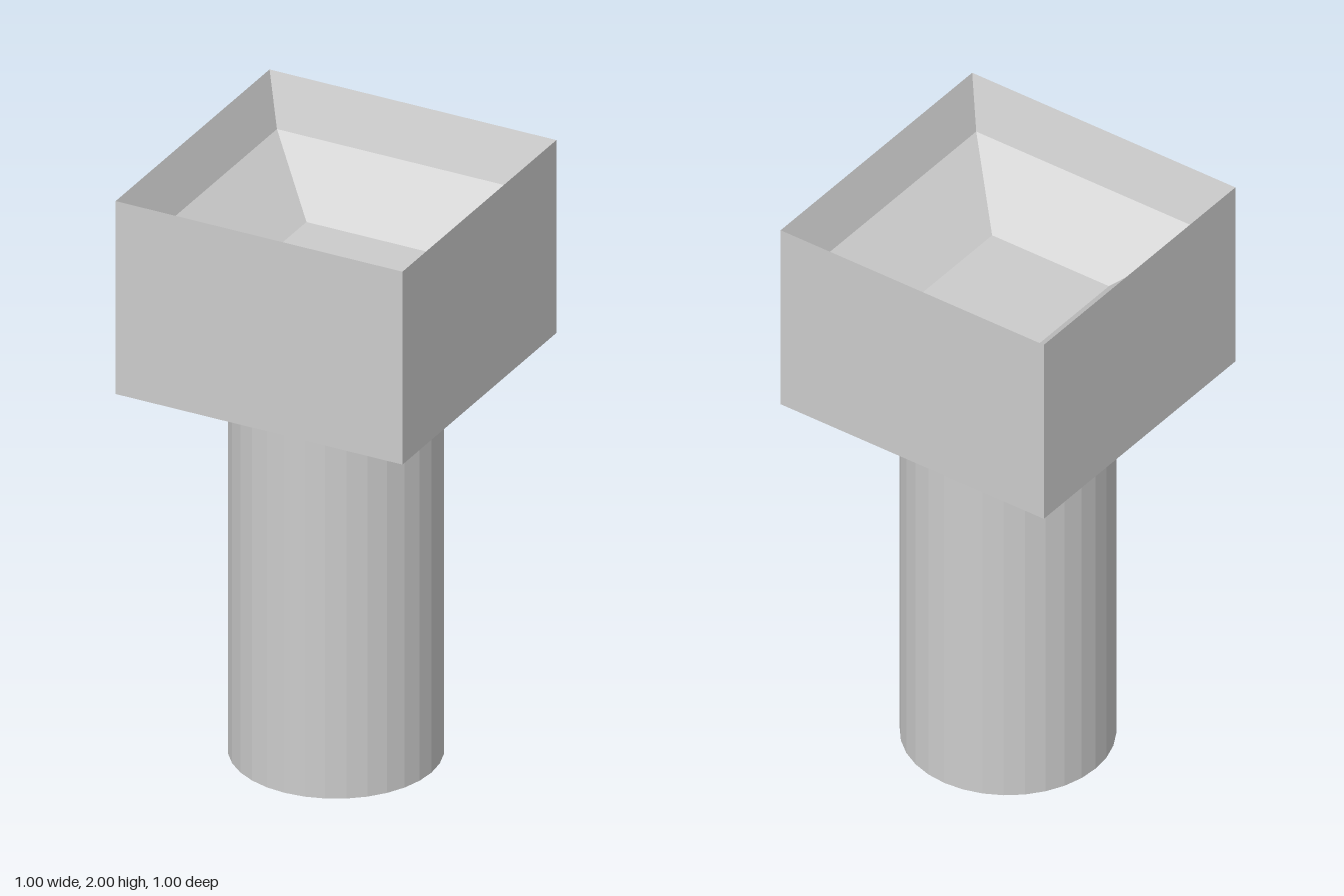
import * as THREE from 'three';

const material = new THREE.MeshStandardMaterial({ color: 0xcccccc, flatShading: true });

// Square solid of revolution: profile of [half width, height], four flat sides
function squareLathe(profile) {
  const points = profile.map(([half, y]) => new THREE.Vector2(half * Math.SQRT2, y));
  return new THREE.LatheGeometry(points, 4, Math.PI / 4).toNonIndexed();
}

export function createModel() {
  const model = new THREE.Group();
  model.name = 'squareBasinOnColumn';

  // Round column, its top set into the recess under the basin
  const height = 1.5;
  const column = new THREE.Mesh(new THREE.CylinderGeometry(0.333, 0.333, height, 32), material);
  column.name = 'column';
  column.position.y = height / 2;
  model.add(column);

  // Square basin: hollow underside, straight outer walls, stepped funnel inside
  const geometry = squareLathe([
    [0, 1.5], [0.222, 1.5], [0.444, 1.417], [0.5, 1.333], // underside
    [0.5, 2], // outer wall up to the sharp rim
    [0.444, 1.833], [0.222, 1.667], [0, 1.667], // funnel and floor
  ]);
  geometry.computeVertexNormals();
  const basin = new THREE.Mesh(geometry, material);
  basin.name = 'basin';
  model.add(basin);

  return model;
}
